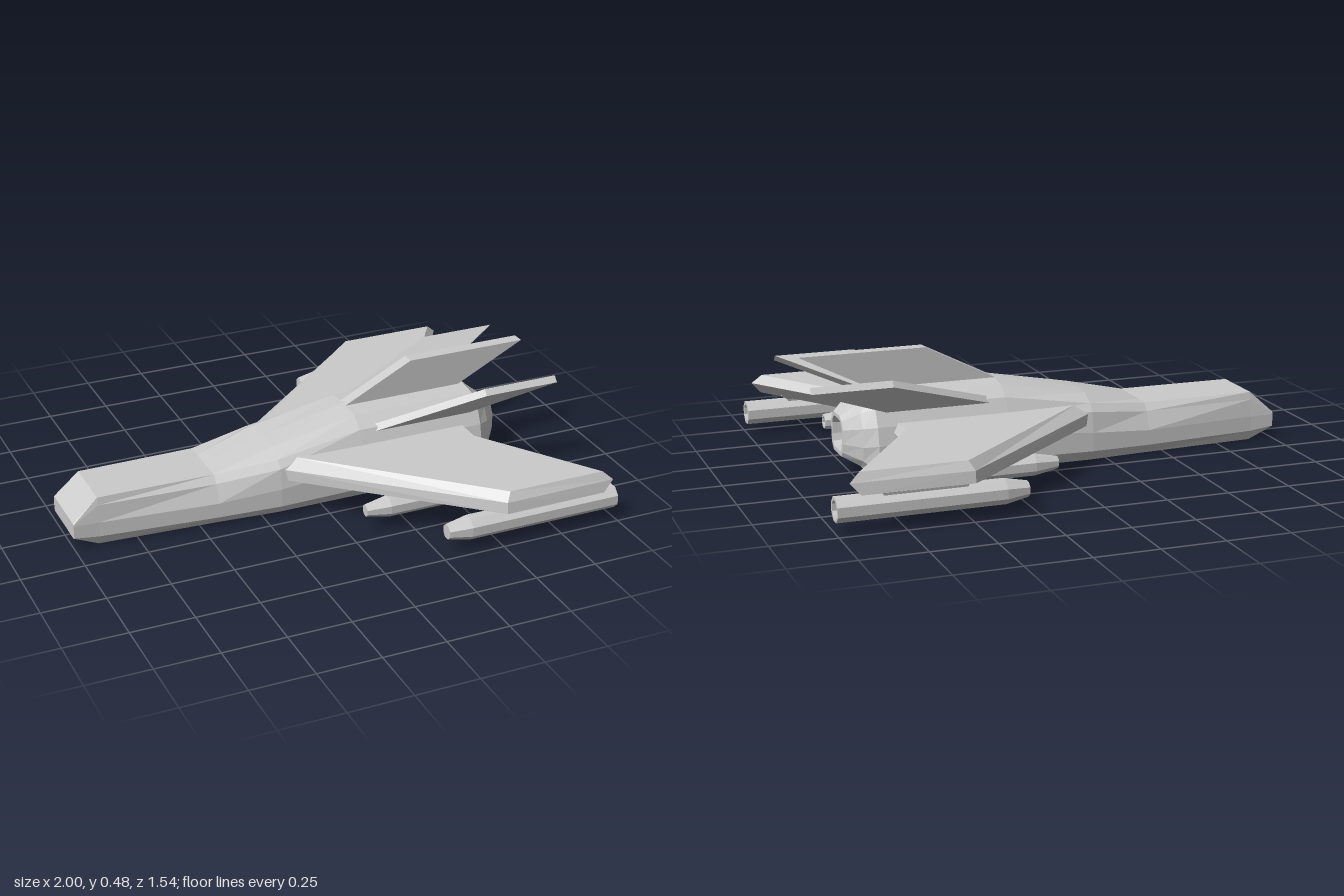
import * as THREE from 'three';

const grey = new THREE.MeshStandardMaterial({ color: 0xcccccc, flatShading: true });

// Closed solid through matching rings of [x, y, z]; caps are fans from corner 0.
function loft(rings) {
  const n = rings[0].length;
  const tris = [];
  for (let r = 0; r < rings.length - 1; r++) {
    const a = rings[r], b = rings[r + 1];
    for (let i = 0; i < n; i++) {
      const j = (i + 1) % n;
      tris.push([a[i], a[j], b[j]], [a[i], b[j], b[i]]);
    }
  }
  const first = rings[0], last = rings[rings.length - 1];
  for (let i = 1; i < n - 1; i++) {
    tris.push([first[0], first[i + 1], first[i]], [last[0], last[i], last[i + 1]]);
  }
  // Turn the faces outwards, so mirrored rings also work
  let volume = 0;
  for (const [a, b, c] of tris) {
    volume += new THREE.Vector3(...a).dot(new THREE.Vector3(...b).cross(new THREE.Vector3(...c)));
  }
  if (volume < 0) tris.forEach((t) => t.reverse());
  const geometry = new THREE.BufferGeometry();
  geometry.setAttribute('position', new THREE.Float32BufferAttribute(tris.flat(2), 3));
  geometry.computeVertexNormals();
  return geometry;
}

function add(parent, name, geometry) {
  const mesh = new THREE.Mesh(geometry, grey);
  mesh.name = name;
  parent.add(mesh);
  return mesh;
}

// Fuselage station: half outline of [z, y] from keel to spine, mirrored
function station(x, half) {
  const right = half.slice(0, -1).reverse().map(([z, y]) => [x, y, -z]);
  return [...half.map(([z, y]) => [x, y, z]), ...right];
}

function shrink(half, k, cy) {
  return half.map(([z, y]) => [z * k, cy + (y - cy) * k]);
}

function fuselage() {
  const main = [[0.16, 0], [0.2, 0.05], [0.2, 0.15], [0.185, 0.22], [0.155, 0.285], [0.1, 0.325], [0, 0.337]];
  const nozzle = [[0.055, 0.085], [0.075, 0.105], [0.085, 0.14], [0.085, 0.195], [0.07, 0.225], [0.045, 0.24], [0, 0.24]];
  return loft([
    station(-1, [[0.115, 0.045], [0.125, 0.05], [0.125, 0.1], [0.124, 0.107], [0.12, 0.11], [0.06, 0.11], [0, 0.11]]),
    station(-0.9, [[0.112, 0], [0.13, 0.04], [0.13, 0.1], [0.122, 0.17], [0.115, 0.2], [0.06, 0.2], [0, 0.2]]),
    station(-0.43, [[0.14, 0], [0.175, 0.04], [0.175, 0.1], [0.145, 0.17], [0.12, 0.2], [0.06, 0.2], [0, 0.2]]),
    station(-0.18, [[0.16, 0], [0.2, 0.045], [0.2, 0.12], [0.185, 0.2], [0.16, 0.23], [0.1, 0.26], [0, 0.262]]),
    station(0.17, main),
    station(0.69, main),
    station(0.74, [[0.11, 0.055], [0.15, 0.085], [0.16, 0.14], [0.15, 0.21], [0.12, 0.265], [0.075, 0.285], [0, 0.29]]),
    station(0.8, nozzle),
    // exhaust recess
    station(0.8, shrink(nozzle, 0.8, 0.163)),
    station(0.72, shrink(nozzle, 0.7, 0.163)),
  ]);
}

// Wing: three stacked outlines give bevelled leading and pointed trailing edges
function wing(s) {
  const layer = (y, pts) => pts.map(([x, z]) => [x, y, s * z]);
  return loft([
    layer(0.15, [[0.59, 0.28], [0.92, 0.765], [0.5, 0.768], [-0.18, 0.17], [-0.18, 0.1], [0.59, 0.1]]),
    layer(0.195, [[0.63, 0.27], [0.96, 0.757], [0.5, 0.762], [-0.18, 0.17], [-0.18, 0.1], [0.63, 0.1]]),
    layer(0.23, [[0.61, 0.28], [0.92, 0.742], [0.52, 0.742], [-0.12, 0.155], [-0.12, 0.1], [0.61, 0.1]]),
  ]);
}

// Canted fin: swept plate leaning outwards
function cantedFin(s) {
  const edge = [[0.2, 0.14, 0.27], [0.655, 0.28, 0.41], [0.97, 0.28, 0.41], [0.62, 0.14, 0.27]];
  const face = (d) => edge.map(([x, z, y]) => [x, y + d * 0.011, s * (z - d * 0.01)]);
  return loft([face(-1), face(1)]);
}

function centreFin() {
  const edge = [[0.13, 0.315], [0.45, 0.477], [0.95, 0.477], [0.63, 0.315]];
  return loft([-0.025, 0.025].map((z) => edge.map(([x, y]) => [x, y, z])));
}

// Eight-sided pod along x from a profile of [radius, x]
function pod(profile) {
  const geometry = new THREE.LatheGeometry(profile.map(([r, x]) => new THREE.Vector2(r, x)), 8, Math.PI / 8);
  return geometry.rotateZ(-Math.PI / 2);
}

function pylon(x0, x1, z) {
  const ring = (y, w, inset) => [
    [x0 + inset, y, z - w], [x1 - inset, y, z - w], [x1 - inset, y, z + w], [x0 + inset, y, z + w],
  ];
  return loft([ring(0.11, 0.02, 0.04), ring(0.135, 0.025, 0.03), ring(0.155, 0.045, 0)]);
}

export function createModel() {
  const model = new THREE.Group();
  model.name = 'jetAircraft';
  add(model, 'fuselage', fuselage());
  add(model, 'centreFin', centreFin());

  const outer = [[0, 0.28], [0.03, 0.28], [0.048, 0.37], [0.048, 1], [0.035, 1], [0.035, 0.92], [0, 0.92]];
  const inner = [[0, 0.065], [0.024, 0.065], [0.042, 0.16], [0.042, 0.64], [0.03, 0.74], [0.022, 0.74], [0.022, 0.7], [0, 0.7]];

  for (const [side, s] of [['left', 1], ['right', -1]]) {
    add(model, side + 'Wing', wing(s));
    add(model, side + 'CantedFin', cantedFin(s));
    add(model, side + 'OuterPod', pod(outer)).position.set(0, 0.087, s * 0.697);
    add(model, side + 'InnerPod', pod(inner)).position.set(0, 0.092, s * 0.435);
    add(model, side + 'OuterPylon', pylon(0.48, 0.86, s * 0.697));
    add(model, side + 'InnerPylon', pylon(0.2, 0.6, s * 0.435));
  }
  return model;
}
